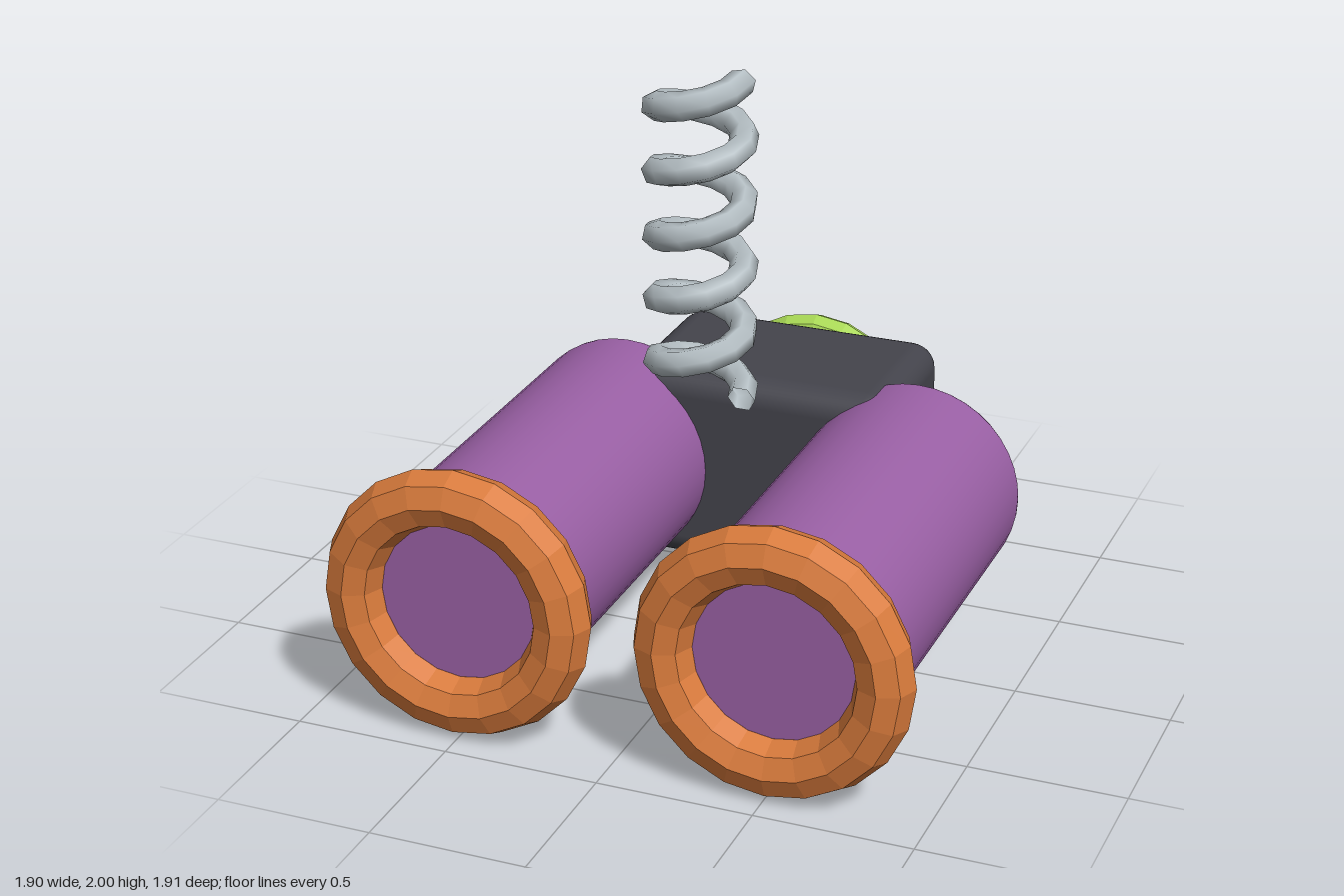
import * as THREE from 'three';
import { RoundedBoxGeometry } from 'three/addons/geometries/RoundedBoxGeometry.js';

const material = (name, color, extra = {}) => {
  const m = new THREE.MeshStandardMaterial({ color, ...extra });
  m.name = name;
  return m;
};

// Helix climbing from +x towards -z
class Helix extends THREE.Curve {
  constructor(radius, y0, y1, turns) {
    super();
    Object.assign(this, { radius, y0, y1, turns });
  }
  getPoint(t, target = new THREE.Vector3()) {
    const a = t * this.turns * Math.PI * 2;
    return target.set(this.radius * Math.cos(a), this.y0 + (this.y1 - this.y0) * t, -this.radius * Math.sin(a));
  }
}

// Cylinder along z with rounded rims at both ends
function roundedBarrel(radius, back, front, bevel) {
  const points = [new THREE.Vector2(0, back), new THREE.Vector2(radius - bevel - 0.004, back)];
  const steps = 5;
  for (const end of [0, 1]) {
    for (let i = 0; i <= steps; i++) {
      const a = ((end ? i / steps : i / steps - 1) * Math.PI) / 2;
      const y = (end ? front - bevel : back + bevel) + bevel * Math.sin(a);
      points.push(new THREE.Vector2(radius - bevel + bevel * Math.cos(a), y));
    }
  }
  points.push(new THREE.Vector2(radius - bevel - 0.004, front), new THREE.Vector2(0, front));
  return new THREE.LatheGeometry(points, 40).rotateX(Math.PI / 2);
}

export function createModel() {
  const purple = material('purple', 0x9a60a5);
  const orange = material('orange', 0xd97b3c, { flatShading: true });
  const green = material('lime green', 0xa8d855, { flatShading: true });
  const charcoal = material('charcoal', 0x44444c);
  const steel = material('steel grey', 0xb5bfc4, { side: THREE.DoubleSide });

  const model = new THREE.Group();
  const add = (name, geometry, mat, x, y, z) => {
    const mesh = new THREE.Mesh(geometry, mat);
    mesh.name = name;
    mesh.position.set(x, y, z);
    model.add(mesh);
  };
  const axisY = 0.447;

  // Twin barrels, each with a chunky ring at the front
  const barrel = roundedBarrel(0.35, -0.49, 0.86, 0.055);
  const ring = new THREE.TorusGeometry(0.348, 0.093, 8, 20);
  for (const [side, x] of [['left', 0.51], ['right', -0.51]]) {
    add(side + 'Barrel', barrel, purple, x, axisY, 0);
    add(side + 'FrontRing', ring, orange, x, axisY, 0.862);
  }

  // Rear housing bridging the barrels, with its eyepiece ring
  add('rearHousing', new RoundedBoxGeometry(0.91, 0.675, 0.59, 4, 0.085), charcoal, 0, axisY, -0.57);
  add('eyepieceRing', new THREE.TorusGeometry(0.285, 0.06, 8, 20), green, 0, axisY, -0.895);

  // Upright coil spring between the barrels
  const coil = new THREE.TubeGeometry(new Helix(0.135, 0.935, 1.962, 5), 60, 0.045, 6);
  add('coilSpring', coil, steel, 0, 0, 0.16);

  return model;
}
